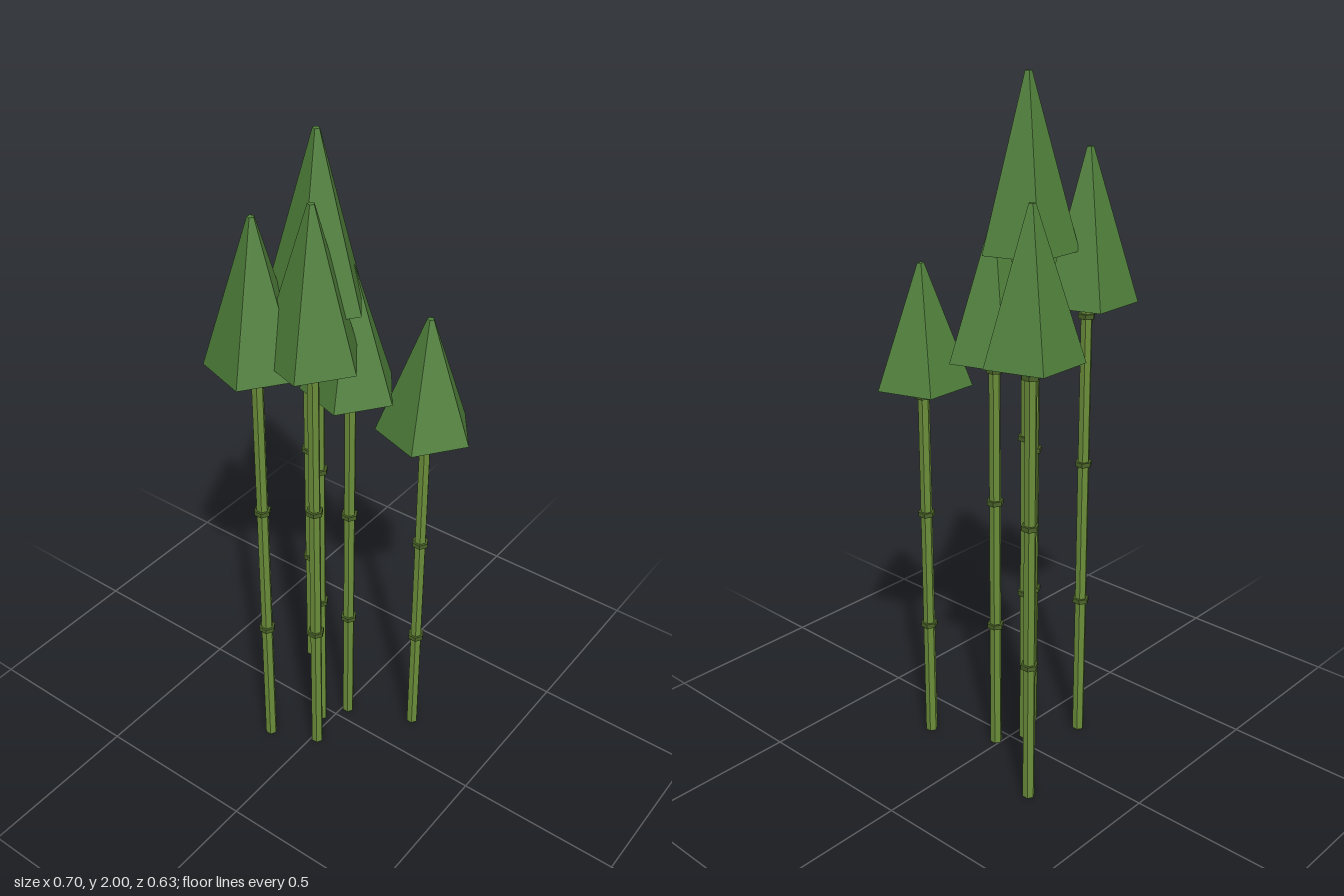
import * as THREE from 'three';

const mat = (color) => new THREE.MeshStandardMaterial({ color, flatShading: true });

// Cylinder standing between two heights, with one corner pointing to +x
function prism(name, rTop, rBottom, y0, y1, sides, material) {
  const geo = new THREE.CylinderGeometry(rTop, rBottom, y1 - y0, sides, 1, false, Math.PI / 2);
  geo.translate(0, (y0 + y1) / 2, 0);
  const mesh = new THREE.Mesh(geo, material);
  mesh.name = name;
  return mesh;
}

export function createModel() {
  const stalkMat = mat(0x6b8e3a);
  const nodeMat = mat(0x4a6328);
  const leafMat = mat(0x4f7f3a);
  const model = new THREE.Group();
  model.name = 'stalkCluster';

  // x, z, total height of each stalk
  const stalks = [
    [-0.24, -0.184, 1.72],
    [-0.123, 0.181, 1.8],
    [-0.033, 0.034, 2.0],
    [0.016, 0.12, 1.85],
    [0.016, -0.045, 1.62],
    [0.21, -0.131, 1.487],
  ];

  for (const [x, z, h] of stalks) {
    const plant = new THREE.Group();
    plant.name = 'plant';
    plant.position.set(x, 0, z);
    plant.add(prism('stalk', 0.017, 0.018, 0, h * 0.78, 6, stalkMat));
    // Three joint rings
    for (const k of [0.25, 0.496, 0.742]) {
      plant.add(prism('jointRing', 0.025, 0.025, h * k - 0.007, h * k + 0.007, 6, nodeMat));
    }
    // Five-sided leaf crown with a small blunt tip
    plant.add(prism('leafCrown', 0.01, 0.14, h * 0.766, h, 5, leafMat));
    model.add(plant);
  }
  return model;
}
